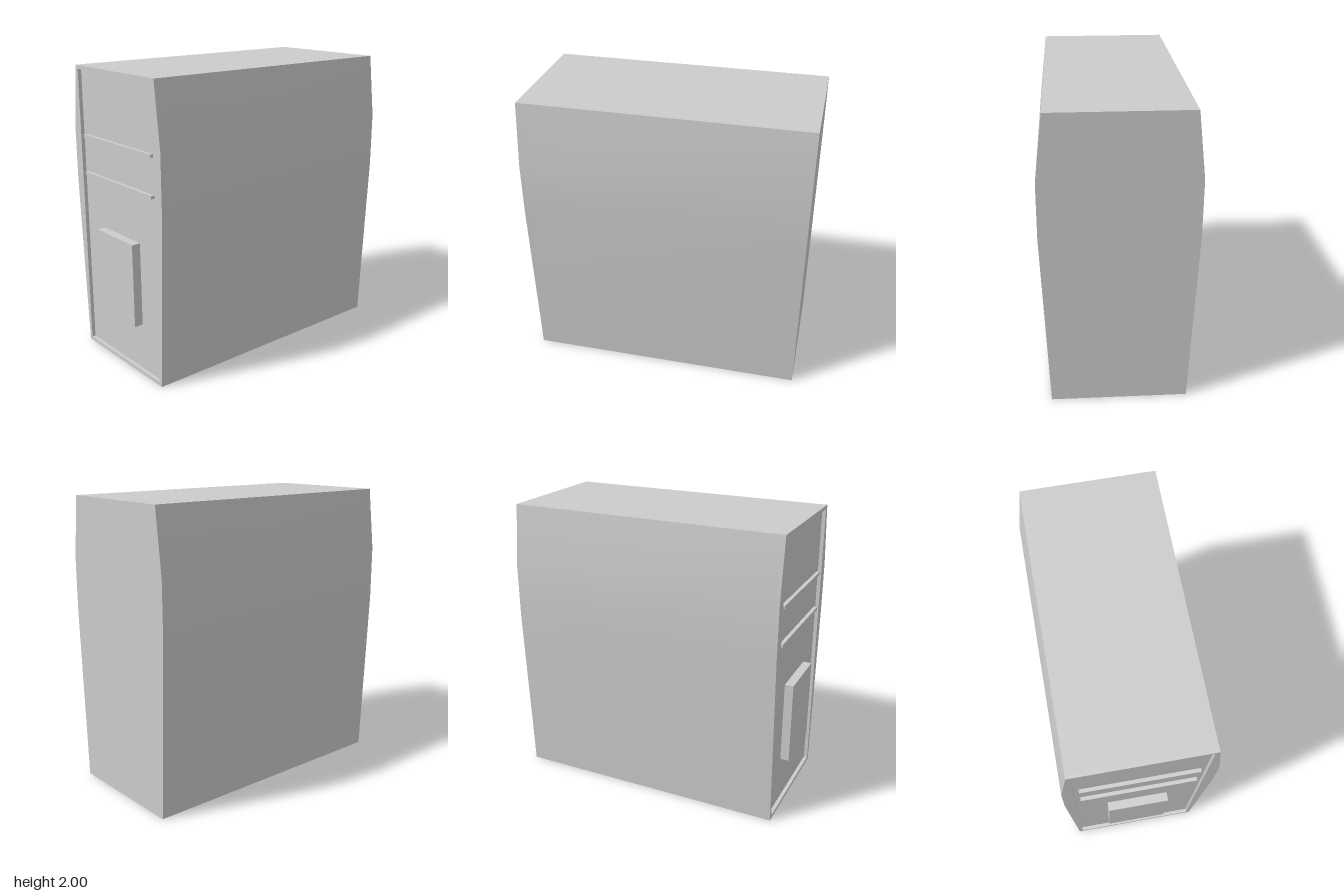
import * as THREE from 'three';
import { toCreasedNormals } from 'three/addons/utils/BufferGeometryUtils.js';

const END_X = 0.98;      // plain end
const RIM_X = -0.945;    // outer edge of the panelled end
const PANEL_X = -0.92;   // recessed panel
const PLATE_X = -0.98;   // face of the raised plate

export function createModel() {
  const group = new THREE.Group();
  const material = new THREE.MeshStandardMaterial({ color: 0xcccccc });

  const add = (name, geometry) => {
    const mesh = new THREE.Mesh(geometry, material);
    mesh.name = name;
    group.add(mesh);
  };

  // Bulging cross-section in z (half width) and y
  const profile = [[0.45, 0], [0.5, 1.2], [0.5, 1.57], [0.45, 2]];
  const outline = () => new THREE.Shape([
    ...profile.map(([z, y]) => new THREE.Vector2(z, y)),
    ...profile.map(([z, y]) => new THREE.Vector2(-z, y)).reverse(),
  ]);

  // Extrude a z-y shape from x = from down to x = to
  const extrudeX = (shape, from, to) => {
    const g = new THREE.ExtrudeGeometry(shape, { depth: from - to, bevelEnabled: false });
    g.rotateY(-Math.PI / 2).translate(from, 0, 0);
    return toCreasedNormals(g, 0.5);
  };

  // Box given by its outer x face, running back to the recessed panel
  const boxOnPanel = (x, y0, y1, halfZ) =>
    new THREE.BoxGeometry(PANEL_X - x, y1 - y0, halfZ * 2)
      .translate((PANEL_X + x) / 2, (y0 + y1) / 2, 0);

  // Main case, ending at the recessed panel
  add('case', extrudeX(outline(), END_X, PANEL_X));

  // Thin rim around the recess
  const rim = outline();
  rim.holes.push(new THREE.Path([
    new THREE.Vector2(-0.425, 0.025), new THREE.Vector2(-0.425, 1.975),
    new THREE.Vector2(0.425, 1.975), new THREE.Vector2(0.425, 0.025),
  ]));
  add('panelRim', extrudeX(rim, PANEL_X, RIM_X));

  // Two divider bars and the raised plate
  [1.27, 1.53].forEach((y, i) =>
    add(`dividerBar${i + 1}`, boxOnPanel(RIM_X, y - 0.01, y + 0.01, 0.39)));
  add('raisedPlate', boxOnPanel(PLATE_X, 0.35, 0.92, 0.21));

  return group;
}
